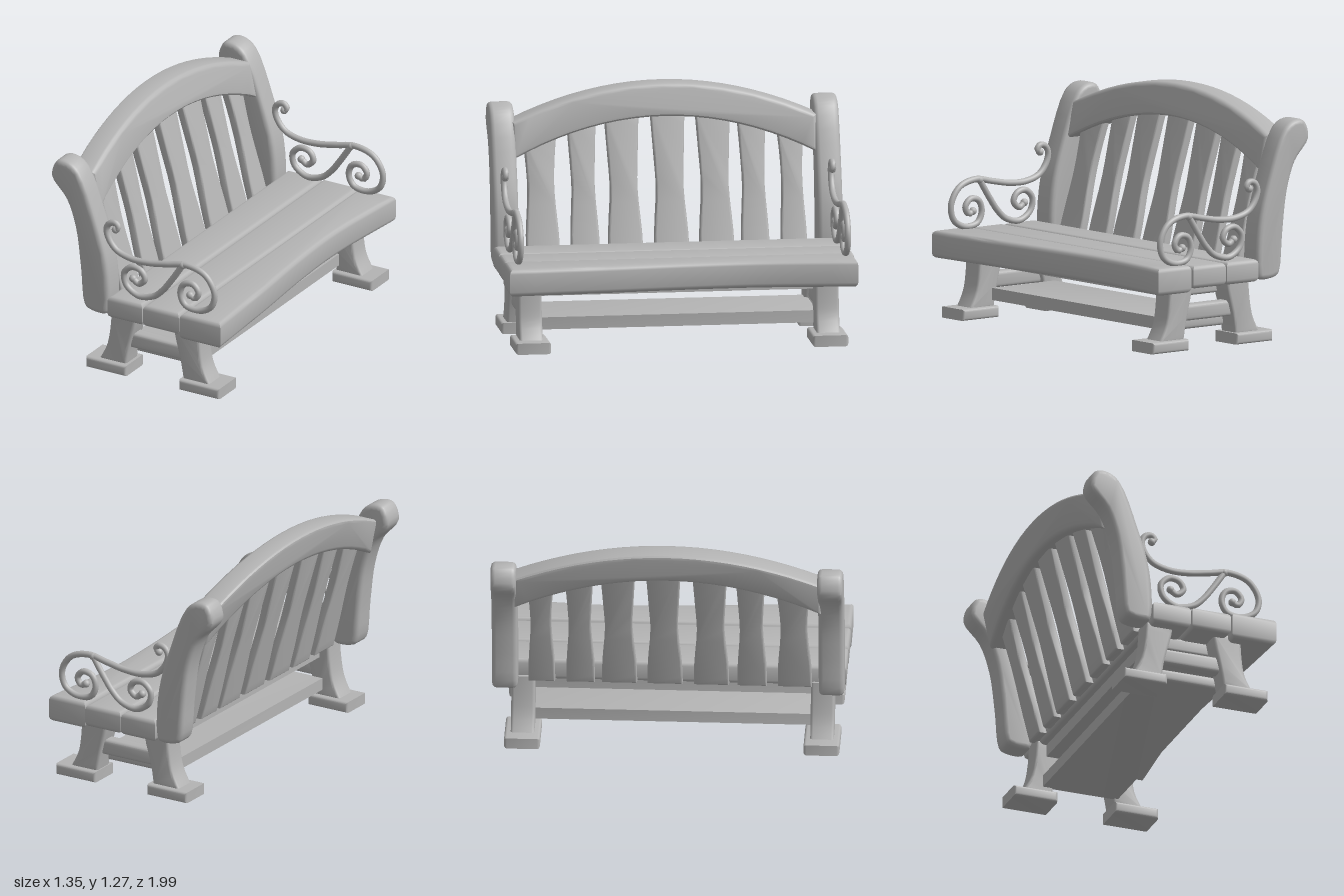
import * as THREE from 'three';
import { toCreasedNormals } from 'three/addons/utils/BufferGeometryUtils.js';

const stone = new THREE.MeshStandardMaterial({ color: 0xb4b4b4 });
stone.name = 'plain grey';

// Extruded outline with rounded edges, centred on z; points give the outer size
function slab(points, depth, bevel) {
  const shape = new THREE.Shape(points.map(([x, y]) => new THREE.Vector2(x, y)));
  const geo = new THREE.ExtrudeGeometry(shape, {
    depth: depth - 2 * bevel, bevelEnabled: true, bevelThickness: bevel,
    bevelSize: bevel, bevelOffset: -bevel, bevelSegments: 3,
  });
  return geo.translate(0, 0, bevel - depth / 2);
}

// Smooth outline through a few points
function smooth(points, n, closed = false) {
  const curve = new THREE.CatmullRomCurve3(points.map(([x, y]) => new THREE.Vector3(x, y, 0)), closed, 'centripetal');
  const out = curve.getPoints(n).map((p) => [p.x, p.y]);
  if (closed) out.pop();
  return out;
}

const box = (x0, x1, y0, y1) => [[x0, y0], [x1, y0], [x1, y1], [x0, y1]];

// Lean a geometry backwards along x as it rises
function lean(geo, x0, slope) {
  const p = geo.attributes.position;
  for (let i = 0; i < p.count; i++) p.setX(i, p.getX(i) + x0 - slope * (p.getY(i) - 0.4));
  return geo;
}

export function createModel() {
  const model = new THREE.Group();
  model.name = 'gardenBench';
  // Bench is laid out with x to its front and z along its length, then turned
  const bench = new THREE.Group();
  bench.name = 'bench';
  bench.rotation.y = THREE.MathUtils.degToRad(10);
  model.add(bench);

  function add(name, geo, x = 0, y = 0, z = 0, crease = 0.6) {
    const mesh = new THREE.Mesh(crease ? toCreasedNormals(geo, crease) : geo, stone);
    mesh.name = name;
    mesh.position.set(x, y, z);
    bench.add(mesh);
    return mesh;
  }

  // Seat planks, the front one with a wavy edge
  const frontEdge = smooth([[0.5, -0.93], [0.455, -0.4], [0.465, 0], [0.495, 0.4], [0.525, 0.925]], 16);
  const planks = [
    [box(-0.17, 0.043, -0.943, 0.92), 0.335, 0.457],
    [box(0.049, 0.269, -0.94, 0.922), 0.335, 0.457],
    [[[0.276, -0.93], ...frontEdge, [0.276, 0.925]], 0.316, 0.462],
  ];
  planks.forEach(([pts, y0, y1]) => {
    add('seatPlank', slab(pts, y1 - y0, 0.025).rotateX(Math.PI / 2), 0, (y0 + y1) / 2, 0);
  });

  // Curved end posts
  const postOutline = smooth([
    [-0.19, 0.345], [-0.173, 0.38], [-0.183, 0.63], [-0.25, 0.87], [-0.355, 1.125], [-0.42, 1.17],
    [-0.49, 1.165], [-0.522, 1.07], [-0.43, 0.955], [-0.375, 0.8], [-0.345, 0.58], [-0.322, 0.375], [-0.295, 0.35],
  ], 52, true);
  for (const s of [1, -1]) add('backPost', slab(postOutline, 0.134, 0.025), 0, 0, s * 0.862 - 0.014);

  // Arched top rail
  const arch = (w, peak, drop) => peak - drop * (w / 0.78) ** 2;
  const lower = [], upper = [];
  for (let i = 0; i <= 20; i++) {
    const w = -0.81 + 0.081 * i;
    lower.push([w, arch(w, 1.095, 0.19)]);
    upper.unshift([w, arch(w, 1.268, 0.168)]);
  }
  add('topRail', lean(slab([...lower, ...upper], 0.135, 0.022).rotateY(Math.PI / 2), -0.24, 0.22), 0, 0, -0.012);

  // Waisted back slats
  const slats = [[0.65, 0.18], [0.425, 0.155], [0.21, 0.185], [-0.035, 0.185], [-0.275, 0.185], [-0.48, 0.15], [-0.685, 0.14]];
  slats.forEach(([w, width]) => {
    const top = arch(w, 1.14, 0.19), h = width / 2;
    const right = smooth([[h, 0.35], [h * 0.96, 0.5], [h * 0.78, 0.73], [h * 0.85, 0.88], [h, top]], 12);
    const left = right.map(([x, y]) => [-x, y]).reverse();
    add('backSlat', lean(slab([...right, ...left], 0.05, 0.01).rotateY(Math.PI / 2), -0.205, 0.27), 0, 0, w);
  });

  // Scrolled armrests: one long scroll and one brace scroll per side
  const armPath = [
    [-0.156, 0.825], [-0.138, 0.838], [-0.156, 0.862], [-0.193, 0.853], [-0.212, 0.816], [-0.197, 0.761],
    [-0.148, 0.706], [-0.055, 0.678], [0.057, 0.68], [0.169, 0.7], [0.281, 0.72], [0.393, 0.687], [0.449, 0.596],
    [0.43, 0.515], [0.355, 0.474], [0.27, 0.488], [0.24, 0.548], [0.262, 0.606], [0.318, 0.618], [0.352, 0.577],
    [0.33, 0.54], [0.3, 0.552],
  ];
  const bracePath = [
    [0.255, 0.715], [0.188, 0.614], [0.132, 0.54], [0.076, 0.493], [-0.017, 0.474], [-0.092, 0.522],
    [-0.103, 0.588], [-0.055, 0.632], [0.001, 0.621], [0.023, 0.577], [-0.014, 0.544], [-0.05, 0.566],
  ];
  for (const s of [1, -1]) {
    const z = s * 0.87 - 0.012;
    [['armScroll', armPath], ['armBrace', bracePath]].forEach(([name, path]) => {
      const curve = new THREE.CatmullRomCurve3(path.map(([x, y]) => new THREE.Vector3(x, y, 0)));
      add(name, new THREE.TubeGeometry(curve, 120, 0.017, 10), 0, 0, z, 0);
      for (const [x, y] of [path[0], path[path.length - 1]]) {
        add(name + 'End', new THREE.SphereGeometry(0.021, 12, 8), x, y, z, 0);
      }
    });
  }

  // Flared legs, feet and side stretchers
  const rearLeg = [...smooth([[-0.185, 0.36], [-0.195, 0.24], [-0.215, 0.14], [-0.26, 0.05]], 8),
    ...smooth([[-0.095, 0.05], [-0.08, 0.15], [-0.045, 0.28], [-0.03, 0.36]], 8)];
  const frontLeg = [...smooth([[0.19, 0.36], [0.205, 0.28], [0.235, 0.16], [0.255, 0.05]], 8),
    ...smooth([[0.42, 0.05], [0.375, 0.14], [0.36, 0.22], [0.35, 0.36]], 8)];
  for (const s of [1, -1]) {
    const z = s * 0.79 + 0.005;
    add('rearLeg', slab(rearLeg, 0.125, 0.015), 0, 0, z);
    add('frontLeg', slab(frontLeg, 0.125, 0.015), 0, 0, z);
    for (const x of [-0.2, 0.37]) {
      add('foot', slab(box(-0.123, 0.123, 0, 0.06), 0.19, 0.015), x, 0, z);
    }
    add('sideStretcher', slab(box(-0.12, 0.27, 0.147, 0.233), 0.08, 0.02), 0, 0, z);
  }

  // Low shelf board and the support board under the seat
  add('lowerShelf', slab(box(-0.15, 0.275, 0.09, 0.155), 1.5, 0.02));
  add('seatSupport', slab(box(-0.13, 0.26, 0.268, 0.345), 1.5, 0.015));

  return model;
}
